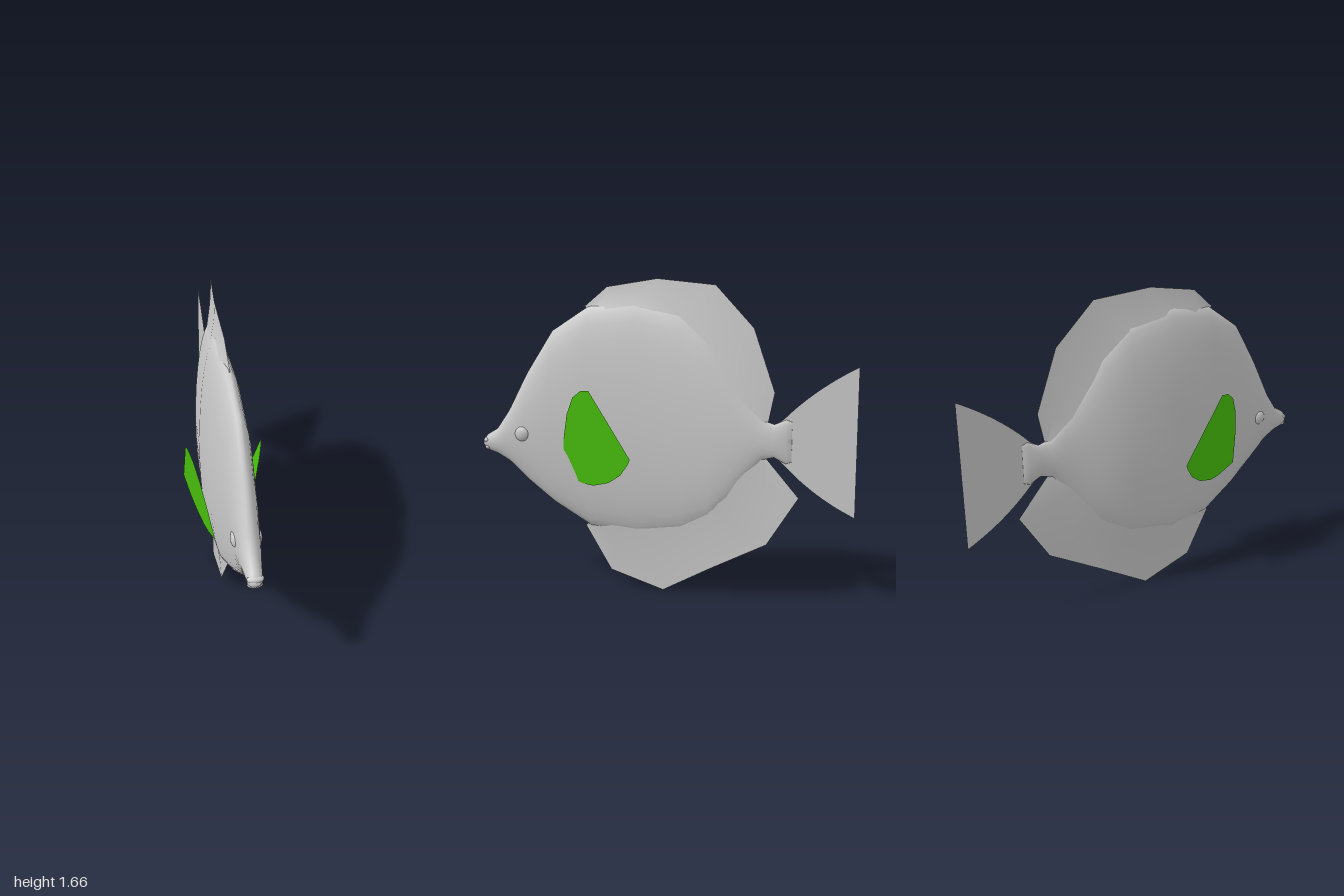
import * as THREE from 'three';

// Body sections: z, top y, bottom y, half width, centre x
const SECTIONS = [
  [1.0, 0.80, 0.775, 0.02, 0.035],
  [0.98, 0.835, 0.75, 0.036, 0.035],
  [0.92, 0.87, 0.73, 0.042, 0.037],
  [0.85, 0.97, 0.69, 0.052, 0.037],
  [0.74, 1.18, 0.585, 0.062, 0.034],
  [0.60, 1.40, 0.47, 0.073, 0.027],
  [0.40, 1.53, 0.345, 0.086, 0.013],
  [0.15, 1.56, 0.31, 0.09, 0.003],
  [-0.10, 1.50, 0.345, 0.086, 0.016],
  [-0.25, 1.36, 0.42, 0.07, 0.037],
  [-0.35, 1.20, 0.52, 0.055, 0.053],
  [-0.45, 1.06, 0.66, 0.04, 0.065],
  [-0.53, 0.96, 0.755, 0.028, 0.073],
  [-0.59, 0.94, 0.77, 0.022, 0.078],
  [-0.65, 0.965, 0.74, 0.018, 0.08],
  [-0.68, 0.955, 0.75, 0.003, 0.08],
];

// Centre line of the bent body at a given z
function spineX(z) {
  for (let i = 1; i < SECTIONS.length; i++) {
    const a = SECTIONS[i - 1], b = SECTIONS[i];
    if (z >= b[0]) return THREE.MathUtils.lerp(a[4], b[4], Math.max(0, (a[0] - z) / (a[0] - b[0])));
  }
  return 0.08;
}

function meshFrom(name, positions, indices, material) {
  const g = new THREE.BufferGeometry();
  g.setAttribute('position', new THREE.Float32BufferAttribute(positions, 3));
  g.setIndex(indices);
  g.computeVertexNormals();
  const m = new THREE.Mesh(g, material);
  m.name = name;
  return m;
}

function makeBody(material) {
  const sides = 32, pos = [], idx = [];
  for (const [z, top, bottom, w, cx] of SECTIONS) {
    for (let j = 0; j < sides; j++) {
      const a = (j / sides) * Math.PI * 2;
      pos.push(cx + w * Math.cos(a), (top + bottom) / 2 + ((top - bottom) / 2) * Math.sin(a), z);
    }
  }
  for (let i = 0; i < SECTIONS.length - 1; i++) {
    for (let j = 0; j < sides; j++) {
      const a = i * sides + j, b = i * sides + (j + 1) % sides;
      idx.push(a, a + sides, b, b, a + sides, b + sides);
    }
  }
  // end caps
  const last = (SECTIONS.length - 1) * sides;
  for (let j = 1; j < sides - 1; j++) idx.push(0, j, j + 1, last, last + j + 1, last + j);
  return meshFrom('body', pos, idx, material);
}

// Wedge-shaped fin between a root line inside the body and a thin outer edge; points are [z, y]
function makeRidgeFin(name, root, edge, material) {
  const group = new THREE.Group();
  group.name = name;
  for (const s of [1, -1]) {
    const pos = [], idx = [];
    root.forEach(([z, y], i) => {
      const [ez, ey] = edge[i];
      const t = i === 0 || i === root.length - 1 ? 0.008 : 0.026;
      const rx = spineX(z), ex = spineX(ez);
      pos.push(rx + s * t, y, z);
      pos.push((rx + ex) / 2 + s * t * 0.3, (y + ey) / 2, (z + ez) / 2);
      pos.push(ex, ey, ez);
      if (i > 0) {
        for (let k = 0; k < 2; k++) {
          const a = (i - 1) * 3 + k, b = a + 1, c = a + 3, d = a + 4;
          // inner-to-outer direction flips between the upper and lower fins
          const up = (ey > y) === (s > 0);
          if (up) idx.push(a, c, b, b, c, d);
          else idx.push(a, b, c, b, d, c);
        }
      }
    });
    group.add(meshFrom(name + (s > 0 ? 'Left' : 'Right'), pos, idx, material));
  }
  return group;
}

// Flat outline in [z, y], placed in space by a rule for x
function makeFlatFin(name, shape, xRule, material) {
  const g = new THREE.ShapeGeometry(shape, 12);
  const p = g.attributes.position;
  for (let i = 0; i < p.count; i++) {
    const z = p.getX(i), y = p.getY(i);
    p.setXYZ(i, xRule(z, y), y, z);
  }
  g.computeVertexNormals();
  const m = new THREE.Mesh(g, material);
  m.name = name;
  return m;
}

function ellipsoid(name, x, y, z, rx, ry, rz, material) {
  const m = new THREE.Mesh(new THREE.SphereGeometry(1, 16, 12), material);
  m.name = name;
  m.position.set(x, y, z);
  m.scale.set(rx, ry, rz);
  return m;
}

export function createModel() {
  const fish = new THREE.Group();
  fish.name = 'fish';
  const grey = new THREE.MeshStandardMaterial({ color: 0xcccccc });
  const greyFin = new THREE.MeshStandardMaterial({ color: 0xcccccc, side: THREE.DoubleSide });
  const green = new THREE.MeshStandardMaterial({ color: 0x4cc80e, side: THREE.DoubleSide });

  fish.add(makeBody(grey));

  // lips
  fish.add(ellipsoid('upperLip', 0.036, 0.805, 0.978, 0.04, 0.019, 0.022, grey));
  fish.add(ellipsoid('lowerLip', 0.036, 0.767, 0.974, 0.037, 0.017, 0.02, grey));

  // eyes
  for (const s of [1, -1]) {
    fish.add(ellipsoid(s > 0 ? 'leftEye' : 'rightEye', 0.036 + s * 0.054, 0.85, 0.76, 0.02, 0.04, 0.04, grey));
  }

  // dorsal and anal fins
  fish.add(makeRidgeFin('dorsalFin',
    [[0.4, 1.5], [0.3, 1.51], [0.1, 1.52], [-0.1, 1.46], [-0.28, 1.27], [-0.42, 1.06], [-0.55, 0.93]],
    [[0.42, 1.53], [0.3, 1.63], [0.03, 1.67], [-0.28, 1.635], [-0.48, 1.42], [-0.59, 1.1], [-0.56, 0.95]],
    greyFin));
  fish.add(makeRidgeFin('analFin',
    [[0.4, 0.37], [0.28, 0.36], [0.1, 0.35], [-0.1, 0.38], [-0.28, 0.48], [-0.42, 0.66], [-0.53, 0.78]],
    [[0.43, 0.345], [0.29, 0.1], [0, 0.005], [-0.26, 0.15], [-0.56, 0.31], [-0.72, 0.565], [-0.55, 0.765]],
    greyFin));

  // tail fin
  const tail = new THREE.Shape();
  tail.moveTo(-0.6, 0.94);
  tail.lineTo(-0.64, 0.97);
  tail.quadraticCurveTo(-0.79, 1.125, -1, 1.235);
  tail.lineTo(-1, 0.475);
  tail.quadraticCurveTo(-0.79, 0.575, -0.64, 0.735);
  tail.lineTo(-0.6, 0.77);
  fish.add(makeFlatFin('tailFin', tail, () => 0.08, greyFin));

  // pectoral fins, flaring outward from the body
  const pectoral = new THREE.Shape([
    [0.54, 0.64], [0.535, 0.69], [0.52, 0.83], [0.49, 0.97], [0.45, 1.06], [0.4, 1.097], [0.355, 1.1],
    [0.14, 0.745], [0.155, 0.715], [0.2, 0.655], [0.27, 0.608], [0.36, 0.585], [0.42, 0.592],
  ].map(([z, y]) => new THREE.Vector2(z, y)));
  for (const s of [1, -1]) {
    fish.add(makeFlatFin(s > 0 ? 'leftPectoralFin' : 'rightPectoralFin', pectoral,
      (z, y) => s * (0.07 + 0.163 * (y - 0.64) + 0.207 * (0.54 - z)), green));
  }
  return fish;
}
